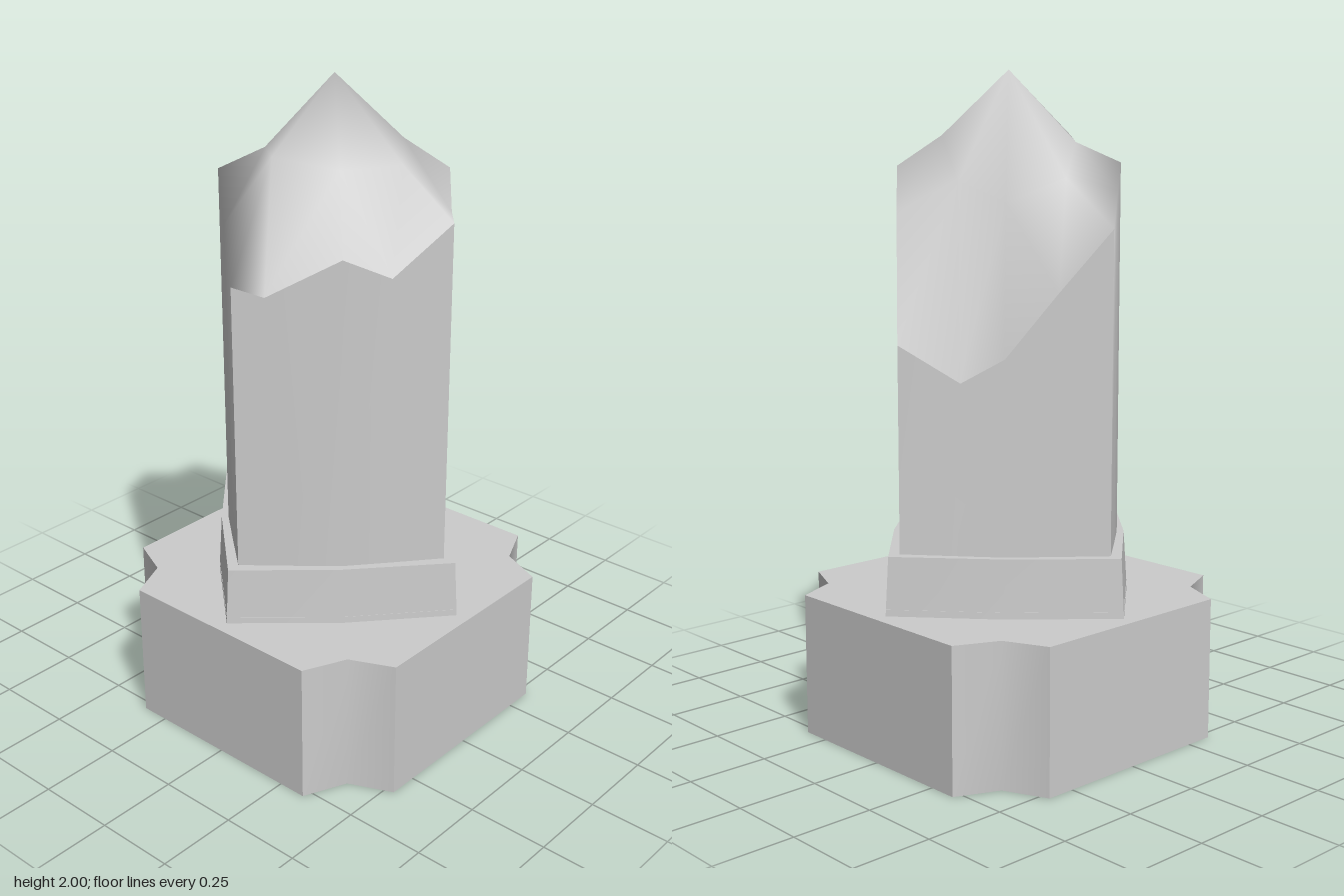
import * as THREE from 'three';
import { toCreasedNormals } from 'three/addons/utils/BufferGeometryUtils.js';

const material = new THREE.MeshStandardMaterial({ color: 0xcccccc, side: THREE.DoubleSide });

function geometryFrom(points, index) {
  const g = new THREE.BufferGeometry();
  g.setAttribute('position', new THREE.Float32BufferAttribute(points.flat(), 3));
  g.setIndex(index);
  g.computeVertexNormals();
  return g;
}

// Triangles of a wall between two rows of n points stored at offsets a and b
function wallIndex(a, b, n) {
  const out = [];
  for (let i = 0; i < n - 1; i++) {
    out.push(a + i, a + i + 1, b + i + 1, a + i, b + i + 1, b + i);
  }
  return out;
}

function wall(lower, upper) {
  const g = geometryFrom([...lower, ...upper], wallIndex(0, lower.length, lower.length));
  return toCreasedNormals(g, 0.85);
}

const close = (loop) => [...loop, loop[0]];
const atHeight = (loop, y) => loop.map(([x, z]) => [x, y, z]);

// Repeats one quarter of an outline four times, from +z round towards +x
function fourfold(quarter) {
  const out = [];
  for (let k = 0; k < 4; k++) {
    for (let [x, z] of quarter) {
      for (let r = 0; r < k; r++) [x, z] = [z, -x];
      out.push([x, z]);
    }
  }
  return out;
}

// Horizontal plate with an optional hole
function plate(outline, y, hole) {
  const vectors = (loop) => loop.map(([x, z]) => new THREE.Vector2(x, -z));
  const shape = new THREE.Shape(vectors(outline));
  if (hole) shape.holes.push(new THREE.Path(vectors(hole)));
  return new THREE.ShapeGeometry(shape).rotateX(-Math.PI / 2).translate(0, y, 0);
}

export function createModel() {
  const model = new THREE.Group();
  const add = (parent, name, geometry) => {
    const mesh = new THREE.Mesh(geometry, material);
    mesh.name = name;
    parent.add(mesh);
  };
  const group = (name) => {
    const g = new THREE.Group();
    g.name = name;
    model.add(g);
    return g;
  };

  // Plinth: square with notched corners, hollow and open below
  const plinthOutline = fourfold([[0.338, 0.528], [0.397, 0.397], [0.528, 0.338]]);
  const collarBottom = fourfold([[0, 0.487], [0.258, 0.258]]);
  const collarTop = fourfold([[0, 0.475], [0.25, 0.25]]);
  const plinth = group('plinth');
  add(plinth, 'plinthSides', wall(
    close(atHeight(plinthOutline, 0)), close(atHeight(plinthOutline, 0.435))));
  add(plinth, 'plinthTop', plate(plinthOutline, 0.435, collarBottom));

  // Collar: low tapered diamond under the shaft
  const collar = group('collar');
  add(collar, 'collarSides', wall(
    close(atHeight(collarBottom, 0.435)), close(atHeight(collarTop, 0.61))));
  add(collar, 'collarTop', plate(collarTop, 0.61));
  add(collar, 'collarUnderside', plate(collarBottom, 0.455));

  // Shaft: diamond foot and a jagged broken rim
  const foot = atHeight(fourfold([[0, 0.432], [0.118, 0.334], [0.235, 0.235], [0.334, 0.118]]), 0.61);
  const rim = [
    [0, 1.48, 0.432], [0.07, 1.45, 0.373], [0.235, 1.56, 0.235], [0.325, 1.5, 0.13],
    [0.432, 1.65, 0], [0.325, 1.63, -0.13], [0.235, 1.72, -0.235], [0.118, 1.59, -0.334],
    [0, 1.22, -0.432], [-0.12, 1.11, -0.3], [-0.21, 1.18, -0.21], [-0.33, 1.37, -0.115],
    [-0.432, 1.55, 0], [-0.334, 1.65, 0.118], [-0.235, 1.73, 0.235], [-0.118, 1.61, 0.334],
  ];
  const shaft = group('shaft');
  for (let k = 0; k < 3; k++) {
    add(shaft, 'shaftFace', wall(foot.slice(4 * k, 4 * k + 5), rim.slice(4 * k, 4 * k + 5)));
  }

  // Broken tip: apex, middle ring and rim; it flows smoothly into the last face
  const middle = [
    [0, 1.81, 0.26], [0.14, 1.77, 0.14], [0.25, 1.78, 0], [0.14, 1.81, -0.14],
    [0, 1.68, -0.2], [-0.13, 1.62, -0.13], [-0.24, 1.69, 0], [-0.14, 1.79, 0.14],
  ];
  const points = [[0, 2, 0], ...middle, ...rim, ...close(foot).slice(12)];
  const index = [];
  for (let j = 0; j < 8; j++) {
    const m0 = 1 + j, m1 = 1 + (j + 1) % 8;
    const r0 = 9 + 2 * j, r1 = r0 + 1, r2 = 9 + (2 * j + 2) % 16;
    index.push(0, m0, m1, m0, r0, r1, m0, r1, m1, m1, r1, r2);
  }
  for (let i = 0; i < 4; i++) {
    const a = 25 + i, r0 = 21 + i, r1 = 9 + (13 + i) % 16;
    index.push(a, a + 1, r1, a, r1, r0);
  }
  add(shaft, 'brokenTip', geometryFrom(points, index));

  return model;
}
